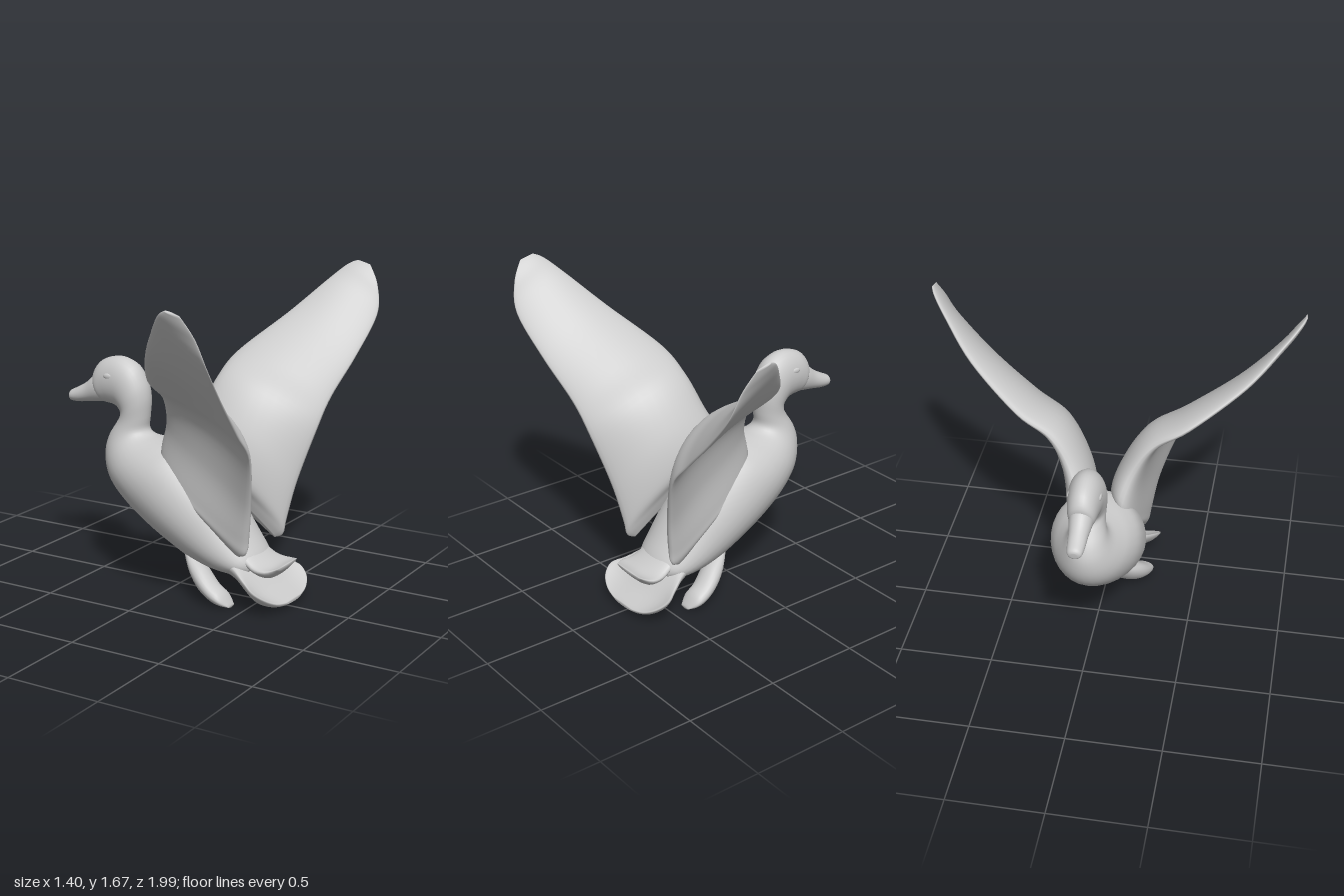
import * as THREE from 'three';

const material = new THREE.MeshStandardMaterial({ color: 0xcccccc, side: THREE.DoubleSide });

// Catmull-Rom value of every station column at position t (in stations)
function sample(stations, t) {
  const i = Math.min(Math.floor(t), stations.length - 2), f = t - i;
  const at = (k) => stations[Math.max(0, Math.min(stations.length - 1, k))];
  const [p, q, r, s] = [at(i - 1), at(i), at(i + 1), at(i + 2)];
  return q.map((_, c) => q[c] + 0.5 * f * (r[c] - p[c] +
    f * (2 * p[c] - 5 * q[c] + 4 * r[c] - s[c] + f * (3 * (q[c] - r[c]) + s[c] - p[c]))));
}

// Closed smooth skin through interpolated stations; point(station, cos, sin) places a ring vertex
function loft(name, stations, point, sides = 32, steps = 4) {
  const pos = [], index = [], rings = (stations.length - 1) * steps;
  for (let i = 0; i <= rings; i++) {
    const s = sample(stations, i / steps);
    for (let j = 0; j < sides; j++) {
      const a = (j / sides) * Math.PI * 2;
      pos.push(...point(s, Math.cos(a), Math.sin(a)));
      if (i === rings) continue;
      const k = i * sides + j, n = i * sides + (j + 1) % sides;
      index.push(k, n, k + sides, n, n + sides, k + sides);
    }
  }
  for (const start of [0, rings * sides]) {
    const c = [0, 0, 0], id = pos.length / 3;
    for (let j = 0; j < sides; j++) {
      for (let k = 0; k < 3; k++) c[k] += pos[(start + j) * 3 + k] / sides;
      const n = start + (j + 1) % sides;
      index.push(...(start ? [id, start + j, n] : [id, n, start + j]));
    }
    pos.push(...c);
  }
  // Turn the skin outward if its enclosed volume is negative
  const v = (i) => new THREE.Vector3().fromArray(pos, index[i] * 3);
  let volume = 0;
  for (let i = 0; i < index.length; i += 3) volume += v(i).dot(v(i + 1).cross(v(i + 2)));
  if (volume < 0) index.reverse();
  const geometry = new THREE.BufferGeometry();
  geometry.setAttribute('position', new THREE.Float32BufferAttribute(pos, 3));
  geometry.setIndex(index);
  geometry.computeVertexNormals();
  const mesh = new THREE.Mesh(geometry, material);
  mesh.name = name;
  return mesh;
}

// Station: back point x,y, belly point x,y, half width
const trunkPoint = ([ax, ay, bx, by, w], c, s) =>
  [(ax + bx) / 2 + (ax - bx) / 2 * c, (ay + by) / 2 + (ay - by) / 2 * c, w * s];

// Station: centre x,y, half width, half thickness, lift of the side edges, centre z
const fanPoint = (side) => ([x, y, w, t, lift, z = 0], c, s) =>
  [x, y + t * s + lift * c ** 4, side * (z + w * c)];

// Station: leading point, trailing point, half thickness, camber
const wingSpan = new THREE.Vector3(0.2, 0.7, 0.6).normalize();
const wingPoint = (side) => ([ax, ay, az, bx, by, bz, t, camber], c, s) => {
  const chord = new THREE.Vector3(bx - ax, by - ay, bz - az);
  const under = chord.clone().cross(wingSpan).normalize();
  const p = new THREE.Vector3(ax, ay, az).addScaledVector(chord, 0.5 + 0.5 * c)
    .addScaledVector(under, t * s * (1 - 0.3 * c) - camber * (1 - c * c));
  return [p.x, p.y, p.z * side];
};

const trunk = [
  [-0.53, 1.06, -0.505, 0.975, 0.04],
  [-0.535, 1.12, -0.475, 0.953, 0.066],
  [-0.48, 1.185, -0.425, 0.947, 0.08],
  [-0.37, 1.212, -0.385, 0.935, 0.09],
  [-0.27, 1.175, -0.37, 0.92, 0.096],
  [-0.215, 1.09, -0.36, 0.905, 0.095],
  [-0.195, 1.0, -0.365, 0.885, 0.09],
  [-0.2, 0.9, -0.39, 0.85, 0.088],
  [-0.205, 0.835, -0.435, 0.78, 0.1],
  [-0.17, 0.805, -0.455, 0.7, 0.125],
  [-0.1, 0.8, -0.44, 0.6, 0.165],
  [0, 0.8, -0.385, 0.51, 0.208],
  [0.08, 0.785, -0.27, 0.41, 0.242],
  [0.17, 0.71, -0.13, 0.315, 0.25],
  [0.27, 0.6, 0, 0.24, 0.24],
  [0.36, 0.48, 0.12, 0.18, 0.22],
  [0.44, 0.36, 0.24, 0.15, 0.2],
  [0.5, 0.27, 0.36, 0.14, 0.17],
  [0.52, 0.22, 0.43, 0.145, 0.12],
];

const bill = [
  [-0.705, 0.975, -0.7, 0.945, 0.015],
  [-0.695, 0.993, -0.69, 0.933, 0.036],
  [-0.65, 1.015, -0.64, 0.932, 0.045],
  [-0.59, 1.05, -0.57, 0.942, 0.05],
  [-0.53, 1.1, -0.5, 0.95, 0.06],
  [-0.46, 1.13, -0.44, 0.96, 0.065],
];

const wing = [
  [0.1, 0.6, 0.13, 0.47, 0.29, 0.19, 0.04, 0.01],
  [0.01, 0.7, 0.13, 0.515, 0.315, 0.2, 0.075, 0.02],
  [-0.03, 0.79, 0.11, 0.53, 0.4, 0.21, 0.1, 0.035],
  [0.03, 0.95, 0.165, 0.565, 0.6, 0.255, 0.08, 0.055],
  [0.065, 1.1, 0.27, 0.62, 0.86, 0.36, 0.055, 0.065],
  [0.09, 1.215, 0.45, 0.63, 1.01, 0.5, 0.042, 0.055],
  [0.25, 1.4, 0.72, 0.67, 1.2, 0.71, 0.032, 0.03],
  [0.4, 1.57, 0.89, 0.7, 1.4, 0.9, 0.022, 0.015],
  [0.48, 1.65, 0.965, 0.67, 1.55, 0.96, 0.015, 0.005],
  [0.53, 1.675, 0.99, 0.61, 1.655, 0.99, 0.006, 0],
];

const tailFan = [
  [0.3, 0.24, 0.15, 0.09, 0],
  [0.42, 0.185, 0.18, 0.07, 0.02],
  [0.51, 0.115, 0.225, 0.055, 0.05],
  [0.58, 0.07, 0.265, 0.04, 0.07],
  [0.64, 0.05, 0.235, 0.026, 0.05],
  [0.675, 0.044, 0.165, 0.016, 0.02],
  [0.69, 0.042, 0.08, 0.008, 0.005],
];

const upperTail = [
  [0.4, 0.29, 0.12, 0.06, 0],
  [0.51, 0.215, 0.14, 0.045, 0],
  [0.59, 0.19, 0.145, 0.033, 0.02],
  [0.65, 0.222, 0.1, 0.01, 0.008],
];

const foot = [
  [0.08, 0.25, 0.04, 0.03, 0, 0.06],
  [0.16, 0.175, 0.07, 0.055, 0, 0.11],
  [0.24, 0.12, 0.075, 0.065, 0, 0.155],
  [0.32, 0.072, 0.068, 0.05, 0, 0.185],
  [0.38, 0.045, 0.062, 0.035, 0, 0.19],
  [0.42, 0.012, 0.03, 0.008, 0, 0.18],
];

export function createModel() {
  const model = new THREE.Group();
  model.name = 'flyingDuck';
  model.add(
    loft('headNeckAndBody', trunk, trunkPoint),
    loft('bill', bill, trunkPoint),
    loft('tailFan', tailFan, fanPoint(1)),
    loft('upperTail', upperTail, fanPoint(1)),
  );
  // Paired parts
  for (const side of [1, -1]) {
    const label = side > 0 ? 'Left' : 'Right';
    model.add(loft('wing' + label, wing, wingPoint(side), 32, 6));
    model.add(loft('foot' + label, foot, fanPoint(side), 20));
    const eye = new THREE.Mesh(new THREE.SphereGeometry(1, 16, 12), material);
    eye.name = 'eye' + label;
    eye.scale.set(0.03, 0.016, 0.01);
    eye.position.set(-0.405, 1.11, side * 0.078);
    model.add(eye);
  }
  return model;
}
